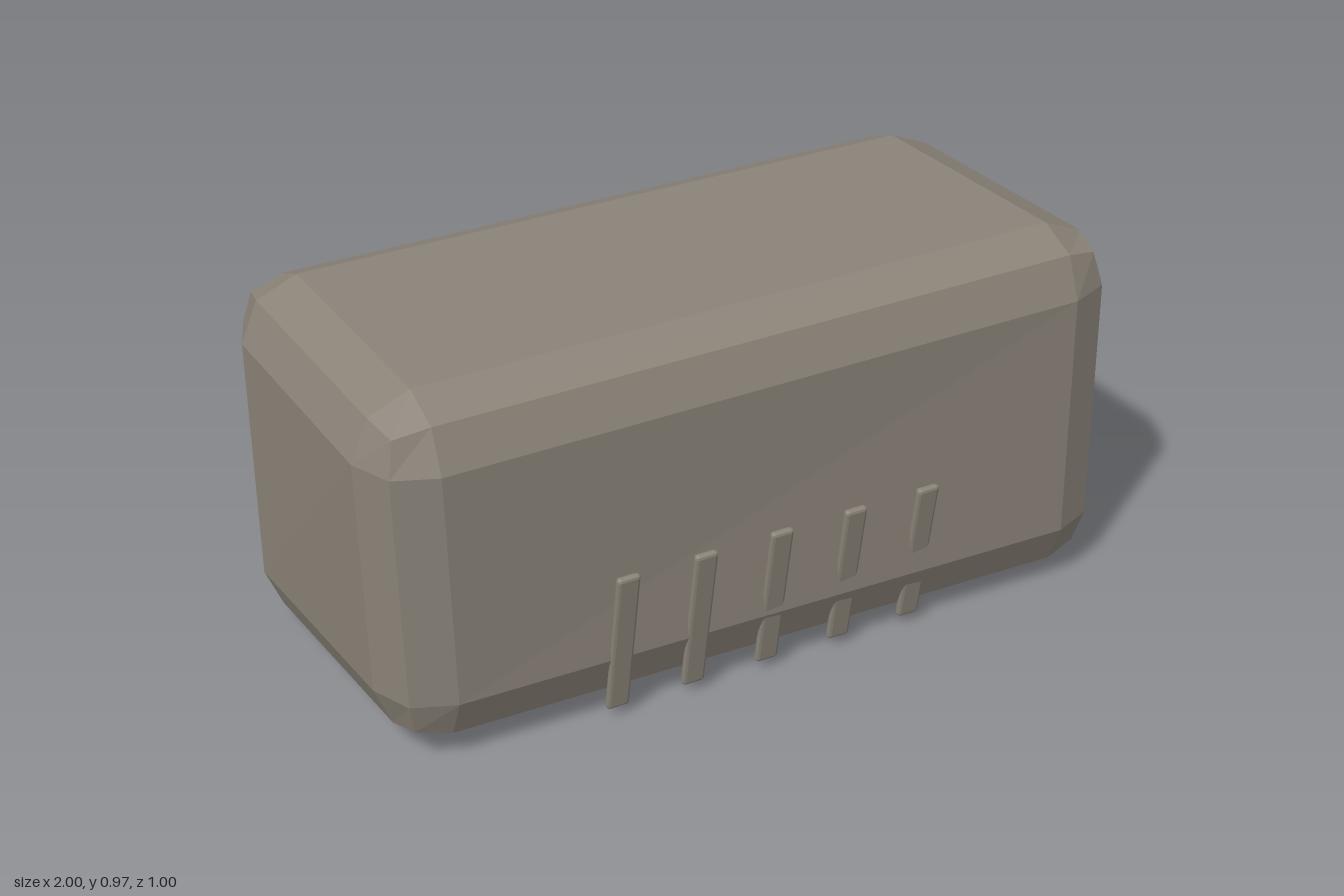
import * as THREE from 'three';
import { RoundedBoxGeometry } from 'three/addons/geometries/RoundedBoxGeometry.js';

// Centres of the eight rounded corners, keyed by the signs of x, y and z
const CORNERS = {
  '+++': [0.84, 0.825, 0.32],
  '++-': [0.83, 0.804, -0.35],
  '+-+': [0.84, 0.175, 0.326],
  '+--': [0.85, 0.155, -0.30],
  '-++': [-0.85, 0.805, 0.305],
  '-+-': [-0.85, 0.80, -0.354],
  '--+': [-0.83, 0.19, 0.295],
  '---': [-0.85, 0.165, -0.34],
};
const RADIUS = 0.15;

// Bevelled block whose corners are each shifted a little, for a hand-cut look
function createBlockGeometry() {
  const core = new THREE.Vector3(0.85, 0.35, 0.35);
  const size = core.clone().addScalar(RADIUS).multiplyScalar(2);
  const geometry = new RoundedBoxGeometry(size.x, size.y, size.z, 1, RADIUS);
  const position = geometry.attributes.position;
  const v = new THREE.Vector3();
  for (let i = 0; i < position.count; i++) {
    v.fromBufferAttribute(position, i);
    const signs = v.toArray().map(Math.sign);
    const corner = CORNERS[signs.map((s) => (s > 0 ? '+' : '-')).join('')];
    const [x, y, z] = v.toArray().map((c, k) => corner[k] + c - signs[k] * core.getComponent(k));
    position.setXYZ(i, x, y, z);
  }
  geometry.computeVertexNormals();
  return geometry;
}

export function createModel() {
  const group = new THREE.Group();
  group.name = 'stoneBlock';

  const stone = new THREE.MeshStandardMaterial({ color: 0x8a8378 });
  stone.name = 'warm grey stone';
  stone.flatShading = true;

  const block = new THREE.Mesh(createBlockGeometry(), stone);
  block.name = 'block';
  group.add(block);

  // Five leaning slats, partly sunk into the front face
  const slatGeometry = new RoundedBoxGeometry(0.06, 0.408, 0.02, 1, 0.008);
  for (let i = -2; i <= 2; i++) {
    const slat = new THREE.Mesh(slatGeometry, stone);
    slat.name = `slat${i + 3}`;
    slat.position.set(i * 0.206, 0.233, 0.456);
    slat.rotation.x = 0.165;
    group.add(slat);
  }
  return group;
}
